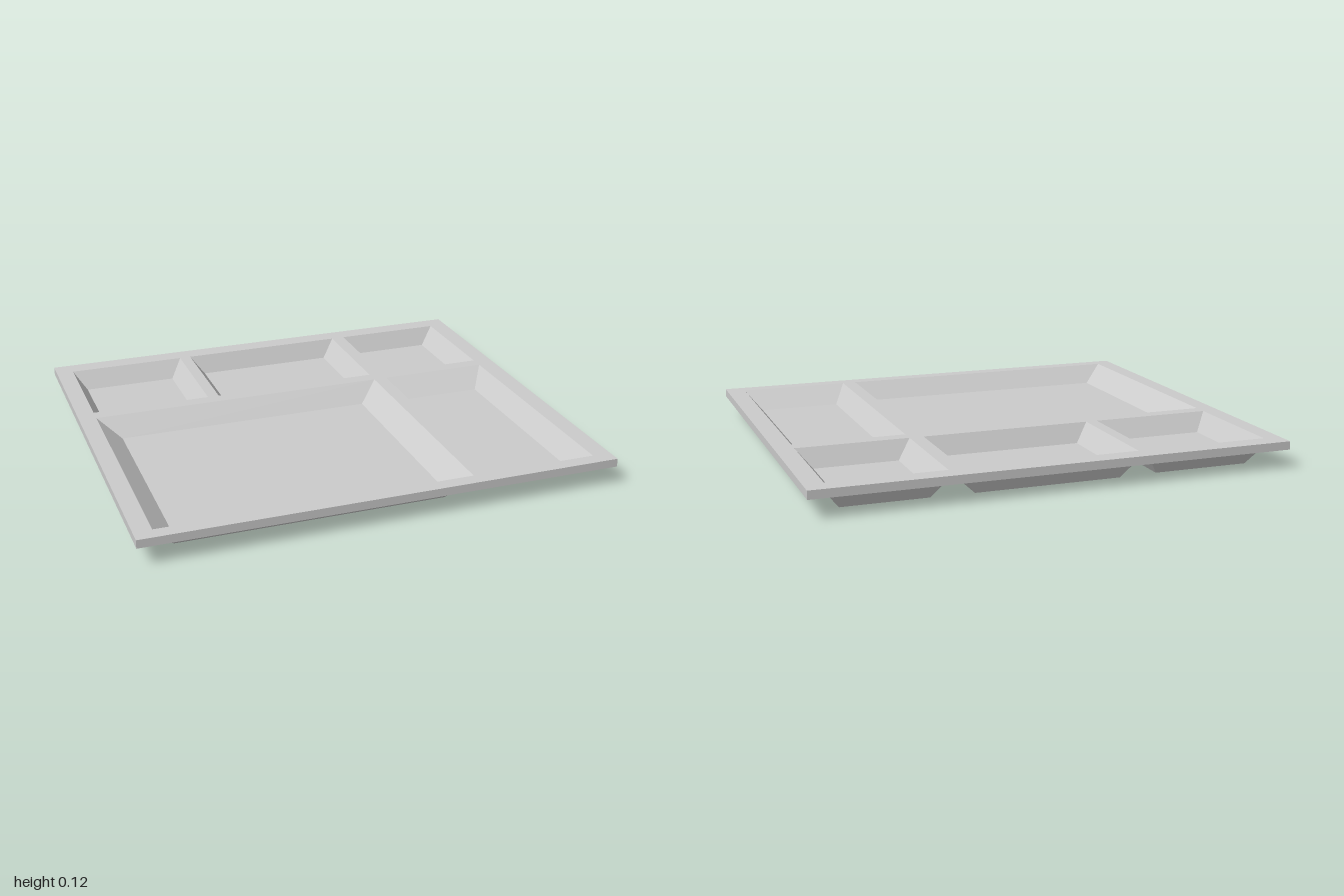
import * as THREE from 'three';
import { mergeGeometries } from 'three/addons/utils/BufferGeometryUtils.js';

const THICK = 0.035; // sheet thickness
const DEPTH = 0.08; // pocket depth
const TOP = DEPTH + THICK;

// Rectangles are [x0, x1, z0, z1]
const OUTLINE = [-1, 1, -0.88, 0.88];
const POCKETS = [
  { name: 'backRightPocket', open: [-0.925, -0.405, -0.8, -0.295], floor: [-0.87, -0.46, -0.75, -0.345] },
  { name: 'backMiddlePocket', open: [-0.355, 0.38, -0.8, -0.295], floor: [-0.295, 0.32, -0.76, -0.335] },
  { name: 'backLeftPocket', open: [0.44, 0.92, -0.8, -0.295], floor: [0.5, 0.855, -0.757, -0.337] },
  { name: 'mainPocket', open: [-0.925, 0.38, -0.235, 0.82], floor: [-0.83, 0.29, -0.16, 0.75] },
  { name: 'sidePocket', open: [0.44, 0.92, -0.235, 0.82], floor: [0.5, 0.855, -0.14, 0.725] },
];

// Corners counterclockwise as seen from above
const corners = ([x0, x1, z0, z1], y) => [[x0, y, z1], [x1, y, z1], [x1, y, z0], [x0, y, z0]];

// Separate flat quads, so every edge stays sharp
function quadsGeometry(quads) {
  const pos = quads.flatMap(([a, b, c, d]) => [a, b, c, a, c, d].flat());
  const geo = new THREE.BufferGeometry();
  geo.setAttribute('position', new THREE.Float32BufferAttribute(pos, 3));
  geo.computeVertexNormals();
  return geo;
}

// Four walls between a lower and an upper rectangle, facing outward
function walls(lower, upper) {
  return lower.map((a, i) => {
    const j = (i + 1) % 4;
    return [a, lower[j], upper[j], upper[i]];
  });
}

// Flat rectangle with pocket openings, facing up (dir 1) or down (dir -1)
function plate(y, dir) {
  const points = (rect) => corners(rect, 0).map(([x, , z]) => new THREE.Vector2(x, -dir * z));
  const shape = new THREE.Shape(points(OUTLINE));
  shape.holes = POCKETS.map((p) => new THREE.Path(points(p.open)));
  const geo = new THREE.ShapeGeometry(shape).rotateX((-dir * Math.PI) / 2).translate(0, y, 0);
  geo.deleteAttribute('uv');
  return geo.toNonIndexed();
}

// Tapered dish: outer skin, plus the same skin raised by the thickness and turned inward
function pocketGeometry({ open, floor }) {
  const skin = (y) => {
    const base = corners(floor, y);
    return [...walls(base, corners(open, y + DEPTH)), [...base].reverse()];
  };
  return quadsGeometry([...skin(0), ...skin(THICK).map((q) => q.reverse())]);
}

export function createModel() {
  const group = new THREE.Group();
  group.name = 'compartmentTray';
  const material = new THREE.MeshStandardMaterial({ color: 0xcccccc, flatShading: true });
  const add = (name, geo) => {
    const mesh = new THREE.Mesh(geo, material);
    mesh.name = name;
    group.add(mesh);
  };

  // Rim: top face, underside and outer edge
  const edge = quadsGeometry(walls(corners(OUTLINE, DEPTH), corners(OUTLINE, TOP)));
  add('rim', mergeGeometries([plate(TOP, 1), plate(DEPTH, -1), edge]));

  // Sunken compartments
  for (const p of POCKETS) add(p.name, pocketGeometry(p));
  return group;
}
